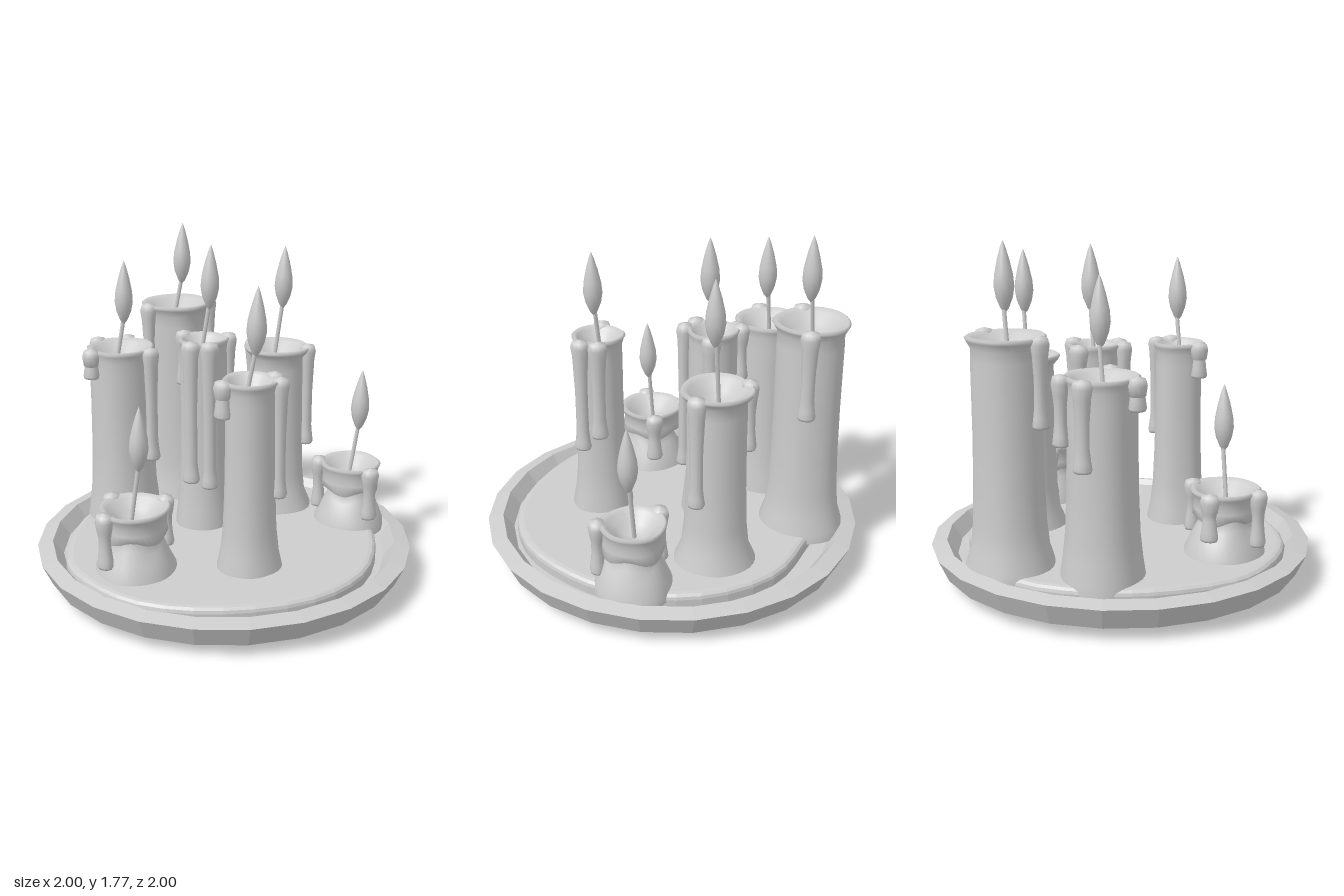
import * as THREE from 'three';

const V2 = (pts) => pts.map(([r, y]) => new THREE.Vector2(r, y));

// x, z, lip radius, body radius, top height, flame tip height, flame x, drips as [dx, dz, bottom]
const CANDLES = [
  { x: -0.19, z: -0.68, R: 0.195, body: 0.17, top: 1.33, tip: 1.77, fx: -0.16, drips: [[-0.16, 0.1, 0.9], [0.19, -0.05, 0.87]] },
  { x: -0.52, z: -0.34, R: 0.18, body: 0.168, top: 1.17, tip: 1.63, fx: -0.5, drips: [[-0.13, -0.16, 0.75], [0.04, -0.19, 0.84], [0.16, 0.12, 0.55], [-0.15, 0.1, 1.02]] },
  { x: -0.09, z: -0.19, R: 0.135, body: 0.125, top: 1.24, tip: 1.73, fx: -0.055, drips: [[-0.08, 0.13, 0.47], [0.02, 0.15, 0.44], [0.15, -0.05, 0.8], [-0.09, -0.12, 0.95]] },
  { x: 0.345, z: -0.39, R: 0.18, body: 0.145, top: 1.13, tip: 1.68, fx: 0.37, drips: [[0.18, 0.04, 0.56], [-0.13, -0.13, 0.77]] },
  { x: 0.72, z: -0.12, R: 0.165, body: 0.15, top: 0.53, tip: 1.05, fx: 0.755, short: true, drips: [[0.07, 0.16, 0.25], [-0.16, -0.06, 0.25]] },
  { x: -0.49, z: 0.35, R: 0.18, body: 0.16, top: 0.53, tip: 1.05, fx: -0.465, short: true, drips: [[-0.16, 0.11, 0.25], [0.17, -0.1, 0.27], [-0.11, -0.15, 0.3]] },
  { x: 0.08, z: 0.385, R: 0.14, body: 0.123, top: 1.18, tip: 1.63, fx: 0.105, drips: [[0.15, 0.03, 0.57], [0.14, -0.07, 0.65], [-0.14, 0.05, 1.0]] },
];

export function createModel() {
  const model = new THREE.Group();
  const grey = new THREE.MeshStandardMaterial({ color: 0xcccccc });
  grey.name = 'plain grey';

  const add = (parent, name, geometry) => {
    const mesh = new THREE.Mesh(geometry, grey);
    mesh.name = name;
    parent.add(mesh);
    return mesh;
  };

  // Faceted round tray
  const tray = new THREE.LatheGeometry(V2([
    [0, 0], [0.8, 0], [0.95, 0.065], [1, 0.175], [0.92, 0.195], [0.865, 0.12], [0, 0.12],
  ]), 24).toNonIndexed();
  tray.computeVertexNormals();
  add(model, 'tray', tray);

  // Pool of set wax with an uneven rounded outline
  const outline = [
    [0.05, -0.77], [0.38, -0.72], [0.68, -0.46], [0.81, -0.12], [0.79, 0.2], [0.64, 0.54], [0.35, 0.76],
    [-0.1, 0.82], [-0.5, 0.71], [-0.75, 0.45], [-0.84, 0.22], [-0.79, -0.2], [-0.67, -0.46], [-0.4, -0.74],
  ].map(([x, z]) => new THREE.Vector3(x, -z, 0));
  const edge = new THREE.CatmullRomCurve3(outline, true).getPoints(42).slice(0, -1);
  const pool = new THREE.ExtrudeGeometry(new THREE.Shape(edge.map((p) => new THREE.Vector2(p.x, p.y))), {
    depth: 0.05, bevelThickness: 0.03, bevelSize: 0.035, bevelOffset: -0.03, bevelSegments: 3,
  });
  pool.rotateX(-Math.PI / 2);
  pool.translate(0, 0.112, 0);
  add(model, 'waxPool', pool);

  // Wax body with flared foot, lip and hollow top
  const candleBody = ({ R, body, top, short }, seed) => {
    const sides = short
      ? [[R + 0.03, 0.15], [R + 0.025, 0.2], [body + 0.012, 0.27], [body - 0.015, 0.33], [body - 0.035, 0.365],
        [body - 0.025, 0.375], [body + 0.005, 0.385], [body, 0.43], [body - 0.002, top - 0.06]]
      : [[R + 0.028, 0.15], [R + 0.025, 0.2], [body + 0.025, 0.28], [body + 0.012, 0.4], [body + 0.004, 0.6],
        [body, 0.85], [body, top - 0.12], [body - 0.002, top - 0.06]];
    const geo = new THREE.LatheGeometry(V2([
      ...sides,
      [R - 0.008, top - 0.025], [R, top - 0.01], [R - 0.012, top], [R * 0.78, top - 0.015],
      [R * 0.5, top - 0.06], [R * 0.28, top - 0.085], [0, top - 0.09],
    ]), 32);
    // Gentle unevenness around the circumference
    const p = geo.attributes.position;
    for (let i = 0; i < p.count; i++) {
      const a = Math.atan2(p.getX(i), p.getZ(i));
      const k = 1 + 0.02 * Math.sin(3 * a + seed) + 0.012 * Math.sin(5 * a + seed * 2);
      const dent = short && p.getY(i) > 0.3 && p.getY(i) < 0.4 ? 0.015 * Math.sin(4 * a + seed) : 0;
      p.setXYZ(i, p.getX(i) * k, p.getY(i) + dent, p.getZ(i) * k);
    }
    // Averaged normals, with the seam column joined
    geo.computeVertexNormals();
    const n = geo.attributes.normal;
    const rows = p.count / 33;
    for (let j = 0; j < rows; j++) {
      const last = 32 * rows + j;
      const m = new THREE.Vector3().fromBufferAttribute(n, j)
        .add(new THREE.Vector3().fromBufferAttribute(n, last)).normalize();
      n.setXYZ(j, m.x, m.y, m.z);
      n.setXYZ(last, m.x, m.y, m.z);
    }
    return geo;
  };

  // Run of wax, thick at the lip and at the lower end
  const drip = (bottom, top) => new THREE.LatheGeometry(V2([
    [0, bottom], [0.036, bottom + 0.002], [0.041, bottom + 0.015], [0.036, bottom + 0.05], [0.03, bottom + 0.11],
    [0.03, (bottom + top) / 2 + 0.02], [0.037, top - 0.08], [0.044, top - 0.03], [0.036, top], [0, top + 0.012],
  ]), 12);

  const flame = new THREE.LatheGeometry(V2([
    [0, 0], [0.02, 0.025], [0.04, 0.075], [0.049, 0.125], [0.045, 0.18], [0.03, 0.25], [0.013, 0.31], [0, 0.345],
  ]), 14);

  CANDLES.forEach((c, i) => {
    const candle = new THREE.Group();
    candle.name = 'candle' + (i + 1);
    candle.position.set(c.x, 0, c.z);
    model.add(candle);
    add(candle, 'waxBody', candleBody(c, i * 1.7));

    for (const [dx, dz, bottom] of c.drips) {
      const angle = Math.atan2(dx, dz);
      const reach = c.body + 0.025;
      const run = add(candle, 'waxDrip', drip(bottom, c.top));
      run.position.set(Math.sin(angle) * reach, 0, Math.cos(angle) * reach);
      run.rotation.y = angle;
      run.scale.x = 1.15;
    }

    // Leaning wick carrying a teardrop flame
    const fx = c.fx - c.x;
    const base = c.tip - 0.345;
    const wickPath = new THREE.LineCurve3(
      new THREE.Vector3(fx - 0.045, c.top - 0.1, 0), new THREE.Vector3(fx, base + 0.03, 0));
    add(candle, 'wick', new THREE.TubeGeometry(wickPath, 1, 0.011, 8));
    const fire = add(candle, 'flame', flame);
    fire.position.set(fx, base, 0.005);
    fire.rotation.z = -0.03;
  });

  return model;
}
